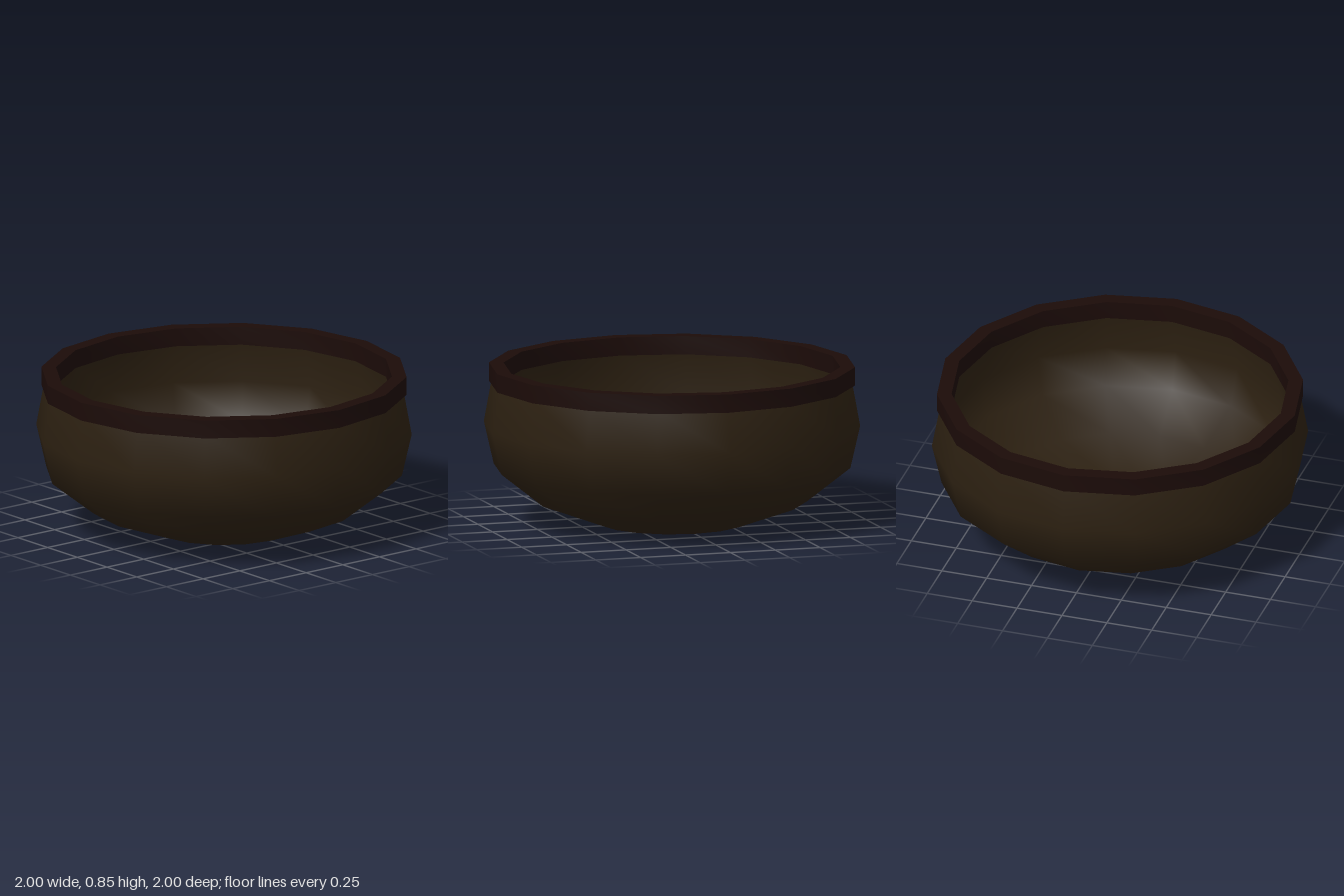
import * as THREE from 'three';
import { toCreasedNormals } from 'three/addons/utils/BufferGeometryUtils.js';

const SIDES = 16;

// Revolves [radius, height] pairs around the y axis
function lathe(profile) {
  return new THREE.LatheGeometry(profile.map(([r, y]) => new THREE.Vector2(r, y)), SIDES);
}

export function createModel() {
  const group = new THREE.Group();
  group.name = 'bowl';

  const clay = new THREE.MeshStandardMaterial({ color: 0x2c2011 });

  // Smooth outer wall with a flat base
  const outerWall = new THREE.Mesh(
    lathe([[0, 0], [0.39, 0], [0.717, 0.12], [0.948, 0.303], [1, 0.53], [0.958, 0.76]]),
    clay
  );
  outerWall.name = 'outerWall';

  // Inner wall, listed from the top down so that it faces inwards
  const innerWall = new THREE.Mesh(
    lathe([[0.91, 0.76], [0.955, 0.53], [0.905, 0.325], [0.69, 0.16], [0.375, 0.045], [0, 0.045]]),
    clay
  );
  innerWall.name = 'innerWall';

  // Closed square-section band around the mouth, sharp at its corners
  const rim = new THREE.Mesh(
    toCreasedNormals(lathe([[0.973, 0.747], [0.973, 0.845], [0.895, 0.845], [0.895, 0.747], [0.973, 0.747]]), 0.6),
    new THREE.MeshStandardMaterial({ color: 0x1b0b08 })
  );
  rim.name = 'rim';

  group.add(outerWall, innerWall, rim);
  return group;
}
